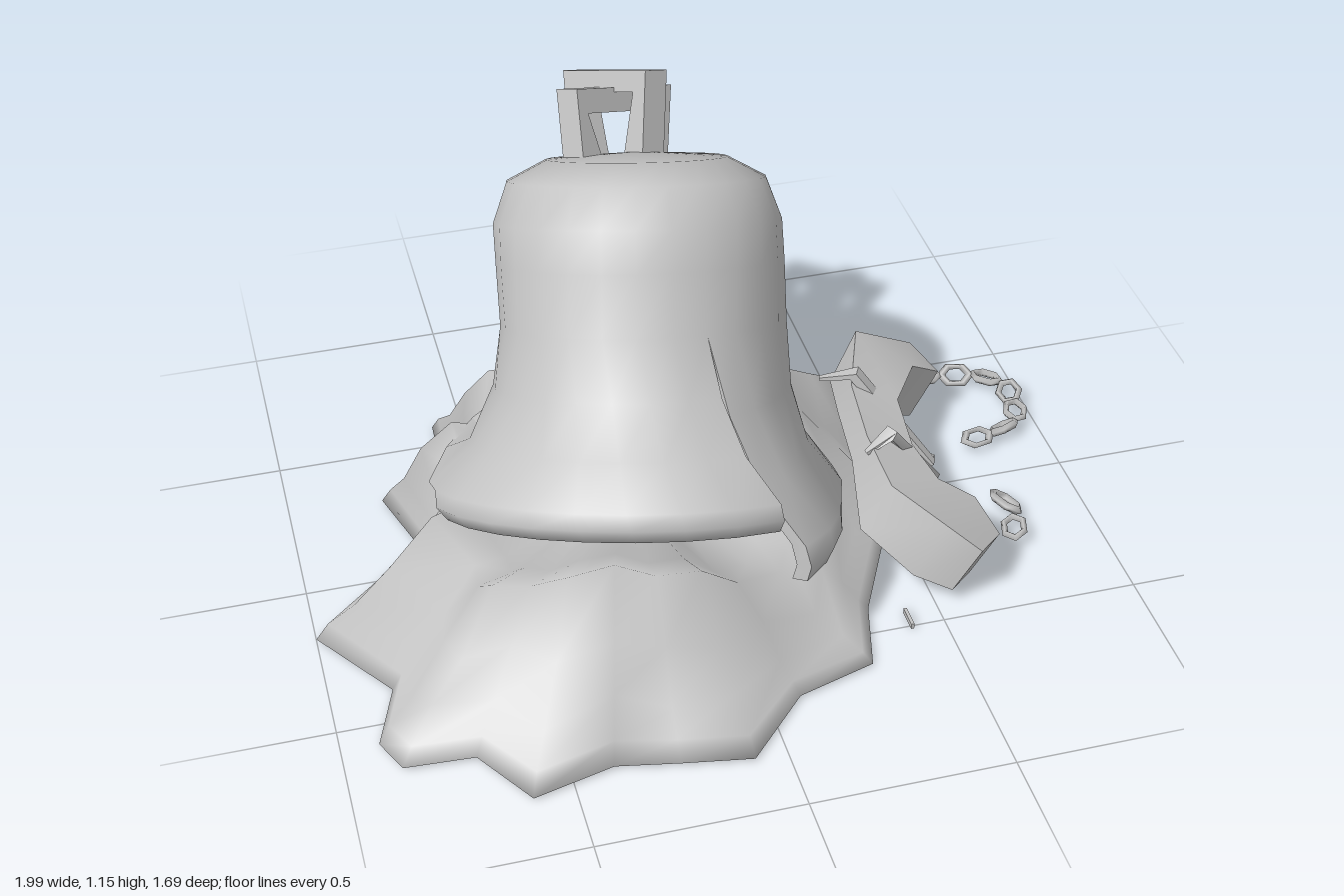
import * as THREE from 'three';
import { toCreasedNormals } from 'three/addons/utils/BufferGeometryUtils.js';

const V = (x, y, z) => new THREE.Vector3(x, y, z);
const stone = new THREE.MeshStandardMaterial({ color: 0xc4c4c4, side: THREE.DoubleSide });
stone.name = 'plain grey';

function mesh(name, geometry) {
  const m = new THREE.Mesh(geometry, stone);
  m.name = name;
  return m;
}

// Skin a list of equally long rows of points
function skin(rows, closed, crease) {
  const n = rows[0].length, index = [];
  for (let r = 0; r < rows.length - 1; r++) {
    for (let i = 0; i < (closed ? n : n - 1); i++) {
      const j = (i + 1) % n, a = r * n + i, b = r * n + j;
      index.push(a, b, a + n, b, b + n, a + n);
    }
  }
  const g = new THREE.BufferGeometry().setFromPoints(rows.flat());
  g.setIndex(index);
  return toCreasedNormals(g, crease);
}

// Four-sided bar along a path; sizes give [width, height] at each point
function bar(path, sizes, up = V(0, 1, 0), crease = 0.6) {
  const rows = path.map((p, i) => {
    const t = path[Math.min(i + 1, path.length - 1)].clone().sub(path[Math.max(i - 1, 0)]).normalize();
    const side = t.clone().cross(up).normalize(), top = side.clone().cross(t);
    const [w, h] = sizes[Math.min(i, sizes.length - 1)];
    return [[1, 1], [1, -1], [-1, -1], [-1, 1]].map(([a, b]) =>
      p.clone().addScaledVector(side, a * w / 2).addScaledVector(top, b * h / 2));
  });
  const cap = (p) => [0, 1, 2, 3].map(() => p.clone());
  return skin([cap(path[0]), ...rows, cap(path[path.length - 1])], true, crease);
}

// Bell wall with a crack that opens towards the lip
function bellShell() {
  const outer = [[0.001, 0.865], [0.22, 0.85], [0.315, 0.8], [0.35, 0.7], [0.35, 0.6], [0.35, 0.45],
    [0.37, 0.3], [0.425, 0.17], [0.525, 0.07], [0.525, 0.03], [0.5, 0]];
  const inner = outer.map(([r, h]) => [Math.max(r - 0.045, 0.001), h > 0.7 ? h - 0.04 : h]).reverse();
  const profile = [...outer, ...inner];
  const cols = 26, rows = [];
  for (let c = 0; c <= cols; c++) {
    const u = c / cols;
    rows.push(profile.map(([r, h]) => {
      const open = THREE.MathUtils.clamp((0.45 - h) / 0.45, 0, 1);
      const start = 0.22 + 0.36 * open, end = 0.22 + Math.PI * 2 + 0.2 * open;
      const phi = start + (end - start) * u;
      // the loose flap sags beside the crack and has lost its flare
      const sag = Math.max(0, 1 - u / 0.24) * open;
      const flat = 0.05 * open * Math.max(0, 1 - Math.abs(u - 0.11) / 0.12);
      const back = 0.08 * h * Math.max(0, -Math.cos(phi));
      const dent = 1 + 0.015 * Math.sin(phi * 3 + h * 9) + back;
      // the wall is broken off where it meets the earth
      const low = (0.02 - 0.47 * r * Math.cos(phi)) / 0.87;
      const lift = phi > 1.8 && phi < 4.6 ? Math.max(0, low - h) : 0;
      const rad = (r + 0.01 * sag - flat - 0.45 * lift) * dent;
      return V(rad * Math.sin(phi), h - 0.13 * sag + lift, rad * Math.cos(phi));
    }));
  }
  // close both faces of the crack from outer to inner wall
  const n = profile.length;
  const edge = (row) => row.map((p, i) => row[n - 1 - i].clone());
  return skin([edge(rows[0]), ...rows, edge(rows[cols])], false, 1.05);
}

function bell() {
  const g = new THREE.Group();
  g.name = 'bell';
  g.position.set(-0.155, 0.22, 0.115);
  g.quaternion.setFromUnitVectors(V(0, 1, 0), V(0.105, 0.87, -0.47).normalize());
  g.add(mesh('crackedBellShell', bellShell()));
  // two crossed hanging loops
  const crown = new THREE.Group();
  crown.name = 'crown';
  crown.position.set(-0.03, 0.83, -0.11);
  [[0.5, 0.14, 0.205], [-1.0, 0.16, 0.16]].forEach(([turn, w, h]) => {
    const path = [V(-w * 0.7, 0, 0), V(-w * 0.92, h, 0), V(w * 0.92, h, 0), V(w * 0.7, 0, 0)];
    const loop = mesh('crownLoop', bar(path, [[0.07, 0.07]], V(0, 0, 1)));
    loop.rotation.y = turn + Math.PI / 2;
    crown.add(loop);
  });
  g.add(crown);
  return g;
}

// Heap of earth with spurs: base outline as x, z, ridge height
function mound() {
  const outline = [
    [-0.15, -0.85, 0.36], [0.05, -0.73, 0.33], [0.3, -0.79, 0.37], [0.34, -0.6, 0.28], [0.53, -0.48, 0.3],
    [0.5, -0.25, 0.25], [0.52, -0.02, 0.24], [0.44, 0.2, 0.2], [0.33, 0.42, 0.16], [0.28, 0.61, 0.17],
    [0.08, 0.67, 0.21], [-0.08, 0.84, 0.34], [-0.25, 0.81, 0.34], [-0.4, 0.78, 0.38], [-0.6, 0.83, 0.37],
    [-0.7, 0.67, 0.29], [-0.87, 0.66, 0.29], [-0.91, 0.57, 0.25], [-0.85, 0.4, 0.24], [-1, 0.18, 0.29],
    [-0.82, 0.01, 0.22], [-0.7, -0.1, 0.25], [-0.76, -0.3, 0.32], [-0.59, -0.33, 0.26], [-0.58, -0.57, 0.33],
    [-0.35, -0.61, 0.3]];
  const cx = -0.2, cz = 0.02;
  // scale of the outline, share of the ridge height, smoothing of the spurs
  const rings = [[0, 0, 0], [1, 0, 0], [0.96, 0.14, 0], [0.88, 0.33, 0.1], [0.77, 0.6, 0.3], [0.63, 1, 0.4], [0.5, 0.85, 0.6]];
  const rows = rings.map(([s, share, soft], k) => outline.map(([x, z, top], i) => {
    const dx = x - cx, dz = z - cz, d = Math.hypot(dx, dz);
    const rad = s * THREE.MathUtils.lerp(d, 0.74 + 0.06 * Math.abs(dz) / d, soft);
    const bump = k === 3 || k === 4 ? 0.02 * Math.sin(i * 2.6 + k * 1.7) : 0;
    return V(cx + dx / d * rad, 0.02 + (top - 0.02) * share + bump, cz + dz / d * rad);
  }));
  // the floor under the bell mouth dips slightly
  for (const s of [0.5, 0]) {
    rows.push(rows[6].map((p) => V(cx + (p.x - cx) * s, 0.2 + (p.y - 0.2) * s, cz + (p.z - cz) * s)));
  }
  return mesh('earthMound', skin(rows, true, Math.PI));
}

// Stretched chain link lying near the ground
function link(x, z, heading, roll, length) {
  const g = new THREE.TorusGeometry(0.035, 0.011, 4, 6);
  g.scale(length / 0.046, 0.8, 1);
  g.rotateX(Math.PI / 2 + roll);
  const m = mesh('chainLink', g);
  m.position.set(x, 0.045, z);
  m.rotation.y = heading;
  return m;
}

export function createModel() {
  const model = new THREE.Group();
  model.name = 'fallenBell';
  model.add(bell(), mound());

  // bent headstock lying beside the bell
  model.add(mesh('headstock', bar(
    [V(0.61, 0.1, 0.41), V(0.55, 0.14, 0.34), V(0.46, 0.19, 0.25), V(0.47, 0.22, 0.08),
      V(0.49, 0.23, -0.1), V(0.56, 0.19, -0.28), V(0.69, 0.11, -0.33)],
    [[0.12, 0.14], [0.2, 0.17], [0.17, 0.16], [0.13, 0.09], [0.13, 0.09], [0.18, 0.16], [0.13, 0.15]],
    V(0.4, 1, 0), 0.9)));

  // bent iron straps and scraps
  const straps = [
    [V(0.38, 0.29, -0.17), V(0.46, 0.32, -0.13), V(0.65, 0.06, -0.03)],
    [V(0.41, 0.27, 0.13), V(0.47, 0.32, 0.13), V(0.64, 0.06, 0.02)],
    [V(0.57, 0.05, 0.08), V(0.6, 0.06, 0), V(0.66, 0.05, -0.07)],
    [V(0.55, 0.03, -0.1), V(0.6, 0.05, -0.04), V(0.64, 0.04, 0.05)]];
  straps.forEach((p) => model.add(mesh('ironStrap', bar(p, [[0.012, 0.01], [0.035, 0.025], [0.025, 0.02]]))));
  model.add(mesh('splinter', bar([V(0.415, 0.02, 0.45), V(0.415, 0.02, 0.51)], [[0.008, 0.015]])));

  // curling chain and one loose link
  const chain = new THREE.CatmullRomCurve3([V(0.72, 0, -0.41), V(0.83, 0, -0.4), V(0.93, 0, -0.36), V(0.965, 0, -0.27), V(0.92, 0, -0.16), V(0.77, 0, -0.11)]);
  for (let i = 0; i < 7; i++) {
    const p = chain.getPointAt((i + 0.5) / 7), t = chain.getTangentAt((i + 0.5) / 7);
    model.add(link(p.x, p.z, Math.atan2(-t.z, t.x), i % 2 ? 0.6 : -0.2, 0.052));
  }
  model.add(link(0.79, 0.15, 1.95, 0.5, 0.06), link(0.775, 0.25, 1.3, -0.2, 0.055));
  return model;
}
